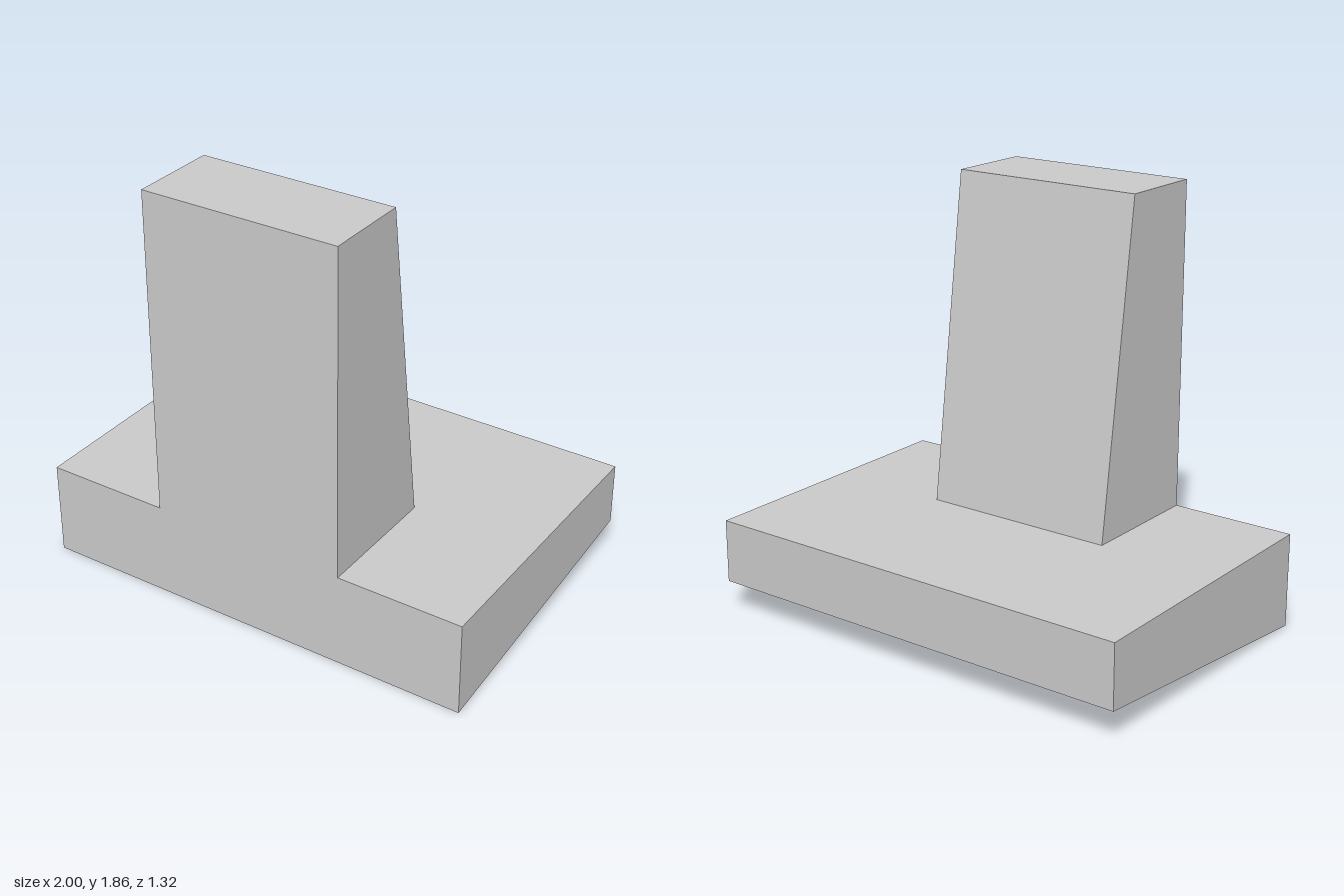
import * as THREE from 'three';

const material = new THREE.MeshStandardMaterial({ color: 0xcccccc, flatShading: true });

// Extrude a side profile of [z, y] points across the width, centred on x = 0
function sideProfile(name, points, width) {
  const shape = new THREE.Shape(points.map(([z, y]) => new THREE.Vector2(z, y)));
  const geometry = new THREE.ExtrudeGeometry(shape, { depth: width, bevelEnabled: false });
  geometry.translate(0, 0, -width / 2);
  geometry.rotateY(-Math.PI / 2);
  const mesh = new THREE.Mesh(geometry, material);
  mesh.name = name;
  return mesh;
}

export function createModel() {
  const group = new THREE.Group();
  group.name = 'taperedBlockOnBase';

  const front = 0.66, back = -0.66, baseTop = 0.42;

  // Wide base with a flat top and an underside that slopes up to the back
  group.add(sideProfile('base', [[back, 0.14], [front, 0], [front, baseTop], [back, baseTop]], 2));

  // Upright flush with the front of the base, its back face leaning forward
  group.add(sideProfile('upright', [[0.08, baseTop], [front, baseTop], [front, 1.86], [0.27, 1.86]], 0.88));

  return group;
}
